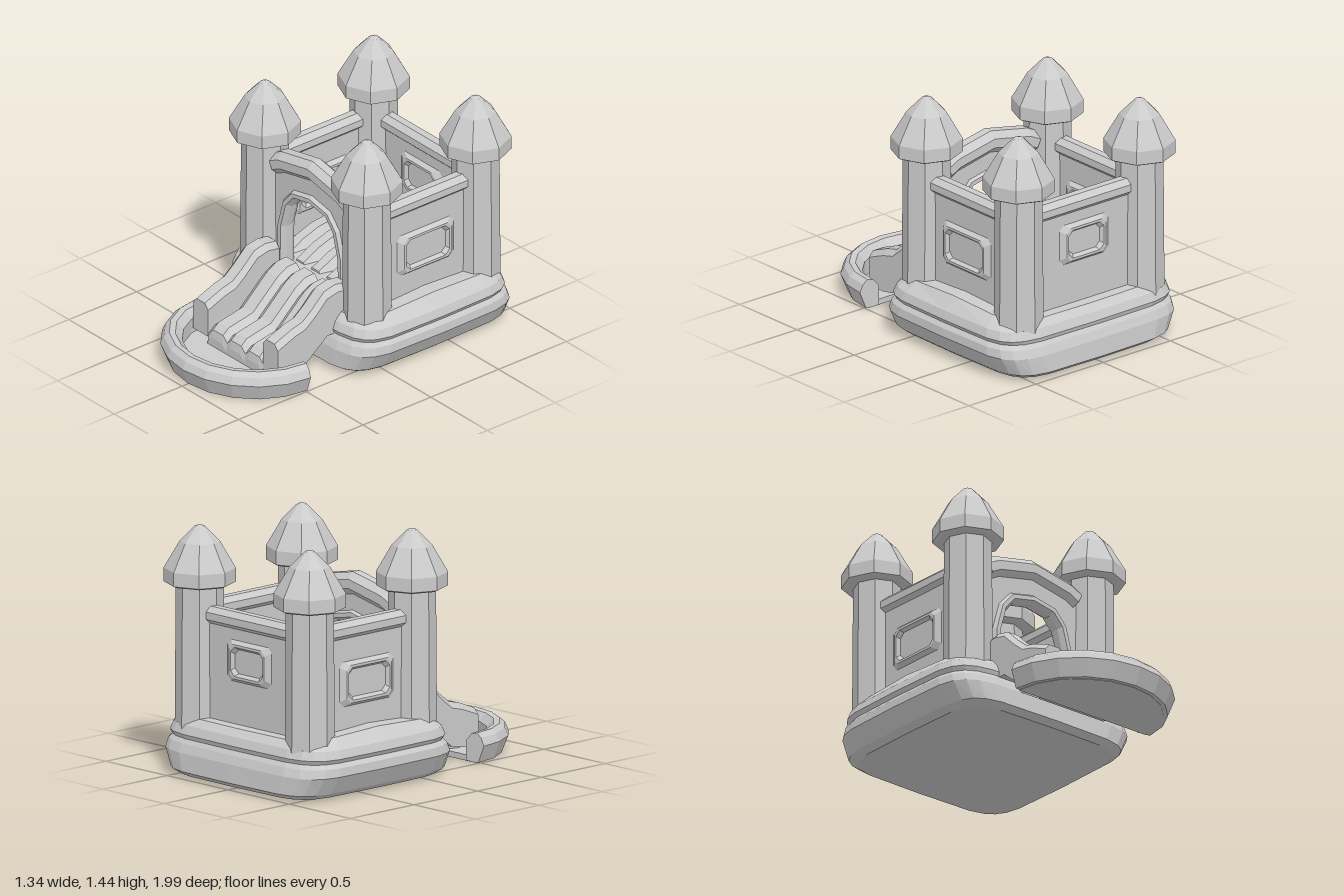
import * as THREE from 'three';

const material = new THREE.MeshStandardMaterial({ color: 0xcccccc, flatShading: true, side: THREE.DoubleSide });

function add(group, name, geometry) {
  const mesh = new THREE.Mesh(geometry, material);
  mesh.name = name;
  group.add(mesh);
  return mesh;
}

// Solid through a row of equal-length loops, capped at both ends, facing outwards
function loft(loops) {
  const tris = [];
  const n = loops[0].length;
  for (let i = 0; i + 1 < loops.length; i++) {
    for (let j = 0; j < n; j++) {
      const k = (j + 1) % n;
      const a = loops[i][j], b = loops[i][k], c = loops[i + 1][k], d = loops[i + 1][j];
      tris.push([a, b, c], [a, c, d]);
    }
  }
  const cap = (loop, flip) => {
    const mid = loop.reduce((s, p) => s.add(p), new THREE.Vector3()).divideScalar(n);
    loop.forEach((p, j) => {
      const q = loop[(j + 1) % n];
      tris.push(flip ? [mid, q, p] : [mid, p, q]);
    });
  };
  cap(loops[0], true);
  cap(loops[loops.length - 1], false);
  const volume = tris.reduce((s, [a, b, c]) => s + a.dot(b.clone().cross(c)), 0);
  const points = tris.flatMap(([a, b, c]) => (volume < 0 ? [a, c, b] : [a, b, c]));
  const geometry = new THREE.BufferGeometry().setFromPoints(points);
  geometry.computeVertexNormals();
  return geometry;
}

// Section of [sideways, depth] pairs swept along a flat path with mitred corners
function sweep(path, section, place) {
  return loft(path.map(([x, y], i) => {
    const a = path[Math.max(i - 1, 0)], b = path[Math.min(i + 1, path.length - 1)];
    const length = Math.hypot(b[0] - a[0], b[1] - a[1]);
    const nx = -(b[1] - a[1]) / length, ny = (b[0] - a[0]) / length;
    return section.map(([s, d]) => place(x + nx * s, y + ny * s, d));
  }));
}

const ring = (count, rx, ry) => Array.from({ length: count }, (_, i) => {
  const a = ((i + 0.5) / count) * Math.PI * 2;
  return [Math.cos(a) * rx, Math.sin(a) * ry];
});
const V = (x, y, z) => new THREE.Vector3(x, y, z);

// Puffy two-tier base: rounded rectangles [height, half width, half depth]
function baseGeometry() {
  const levels = [[0.015, 0.57, 0.58], [0.045, 0.61, 0.62], [0.15, 0.67, 0.61], [0.2, 0.665, 0.59],
    [0.225, 0.645, 0.572], [0.25, 0.66, 0.58], [0.3, 0.645, 0.56], [0.34, 0.58, 0.52], [0.345, 0.4, 0.4]];
  const round = (v) => Math.sign(v) * Math.abs(v) ** (1 / 3);
  return loft(levels.map(([y, hx, hz]) => Array.from({ length: 24 }, (_, i) => {
    const a = (i / 24) * Math.PI * 2;
    const z = round(Math.sin(a));
    const swell = y > 0.32 ? 0.035 * (1 - z * z) : 0;
    return V(round(Math.cos(a)) * hx, y + swell, -0.375 + z * hz);
  })));
}

// Inflated lane: stations [z, top, bottom] with bevelled edges
function lane(x, width, stations) {
  const h = width / 2;
  return loft(stations.map(([z, top, bottom, nz = 0]) => [
    V(x - h, bottom, z - nz), V(x - h, top - 0.035, z - nz * 0.4), V(x - h * 0.55, top, z),
    V(x + h * 0.55, top, z), V(x + h, top - 0.035, z - nz * 0.4), V(x + h, bottom, z - nz),
  ]));
}

// Raised window frame around a sunken panel, facing +z
function windowGeometry(w, h) {
  const rect = (hw, hh, z) => {
    const c = 0.03;
    return [[hw, hh - c], [hw - c, hh], [c - hw, hh], [-hw, hh - c], [-hw, c - hh], [c - hw, -hh], [hw - c, -hh], [hw, c - hh]]
      .map(([x, y]) => V(x, y, z));
  };
  const hw = w / 2, hh = h / 2;
  return loft([rect(hw, hh, -0.01), rect(hw, hh, 0), rect(hw - 0.035, hh - 0.02, 0.025),
    rect(hw - 0.05, hh - 0.035, 0.025), rect(hw - 0.065, hh - 0.05, 0.004)]);
}

// Wall with a window on both faces and a padded top rail
function wall(name, length, windowY, w, h) {
  const group = new THREE.Group();
  group.name = name;
  add(group, 'wallPanel', new THREE.BoxGeometry(length, 0.62, 0.06)).position.y = 0.61;
  add(group, 'topRail', sweep([[-length / 2, 0.94], [length / 2, 0.94]], ring(8, 0.056, 0.06), V));
  for (const side of [0, 1]) {
    const frame = add(group, 'windowFrame', windowGeometry(w, h));
    frame.position.set(0, windowY, side ? -0.03 : 0.03);
    frame.rotation.y = side * Math.PI;
  }
  return group;
}

export function createModel() {
  const castle = new THREE.Group();
  castle.name = 'bouncyCastle';
  add(castle, 'base', baseGeometry());

  // Corner towers with pointed caps
  const capProfile = [[0, 1.1], [0.185, 1.1], [0.205, 1.11], [0.205, 1.19], [0.115, 1.345], [0.03, 1.432], [0, 1.442]]
    .map(([r, y]) => new THREE.Vector2(r, y));
  for (const x of [-0.45, 0.45]) {
    for (const z of [0.012, -0.79]) {
      const tower = new THREE.Group();
      tower.name = 'tower';
      tower.position.set(x, 0, z);
      add(tower, 'towerColumn', new THREE.CylinderGeometry(0.136, 0.142, 0.85, 8)).position.y = 0.7;
      add(tower, 'towerCap', new THREE.LatheGeometry(capProfile, 8));
      castle.add(tower);
    }
  }

  // Side and back walls
  for (const s of [-1, 1]) {
    const side = wall('sideWall', 0.62, 0.63, 0.42, 0.26);
    side.position.set(s * 0.46, 0, -0.385);
    side.rotation.y = s * Math.PI / 2;
    castle.add(side);
  }
  const back = wall('backWall', 0.66, 0.71, 0.36, 0.24);
  back.position.z = -0.8;
  castle.add(back);

  // Front wall with arched doorway
  const half = [[0.27, 0.3], [0.265, 0.6], [0.22, 0.76], [0.15, 0.84], [0, 0.87]];
  const door = [...half.map(([x, y]) => [-x, y]), ...half.slice(0, -1).reverse()];
  const shape = new THREE.Shape([[-0.34, 0.3], [-0.27, 0.3], ...door.slice(1, -1), [0.27, 0.3], [0.34, 0.3],
    [0.34, 0.96], [0.2, 1.02], [0, 1.05], [-0.2, 1.02], [-0.34, 0.96]].map(([x, y]) => new THREE.Vector2(x, y)));
  add(castle, 'frontWall', new THREE.ExtrudeGeometry(shape, { depth: 0.06, bevelEnabled: false })).position.z = -0.02;
  add(castle, 'doorFrame', sweep(door, ring(8, 0.034, 0.055), (x, y, d) => V(x, y, d + 0.012)));
  add(castle, 'frontArch', sweep([[-0.33, 0.965], [-0.26, 1.0], [0, 1.053], [0.26, 1.0], [0.33, 0.965]],
    ring(8, 0.07, 0.07), (x, y, d) => V(x, y, d + 0.008)));

  // Ribbed, domed bouncing floor
  for (let i = -3; i < 3; i++) {
    const x = (i + 0.5) * 0.135;
    const loops = [];
    for (let k = 0; k <= 6; k++) {
      const t = k / 3 - 1;
      const top = 0.36 + 0.1 * (1 - t * t) - 0.06 * x * x;
      const bow = 1 + 0.06 * (1 - t * t);
      loops.push([[-0.068, 0.28], [-0.068, top - 0.055], [-0.03, top], [0.03, top], [0.068, top - 0.055], [0.068, 0.28]]
        .map(([dx, y]) => V((x + dx) * bow, y, -0.4 + t * 0.36)));
    }
    add(castle, 'floorRib', loft(loops));
  }

  // Slide lanes and side rails
  const laneStations = [[0.06, 0.42, 0.2], [0.13, 0.415, 0.2], [0.2, 0.375, 0.17], [0.38, 0.21, 0.06],
    [0.56, 0.175, 0.04], [0.6, 0.14, 0.04], [0.61, 0.09, 0.04]];
  for (const x of [-0.16, 0, 0.16]) add(castle, 'slideLane', lane(x, 0.16, laneStations));
  const railStations = [[0.08, 0.5, 0.22], [0.16, 0.512, 0.22], [0.24, 0.495, 0.22], [0.33, 0.41, 0.15],
    [0.4, 0.355, 0.095], [0.48, 0.335, 0.08], [0.57, 0.3, 0.08], [0.605, 0.285, 0.08]];
  for (const s of [-1, 1]) add(castle, 'slideRail', lane(s * 0.308, 0.132, railStations));

  // Landing pad with a padded half-round rim
  const rim = Array.from({ length: 11 }, (_, i) => {
    const a = (i / 10) * Math.PI;
    return [Math.cos(a) * 0.47, 0.485 + Math.sin(a) * 0.445];
  });
  const rimSection = [[-0.025, 0.008], [-0.065, 0.11], [-0.045, 0.155], [-0.015, 0.18], [0.02, 0.175], [0.06, 0.13], [0.06, 0.01]];
  add(castle, 'landingRim', sweep(rim, rimSection, (x, z, y) => V(x, y, z)));
  add(castle, 'landingPad', loft([0.006, 0.04].map((y) => rim.map(([x, z]) => V(x, y, z)))));
  return castle;
}
